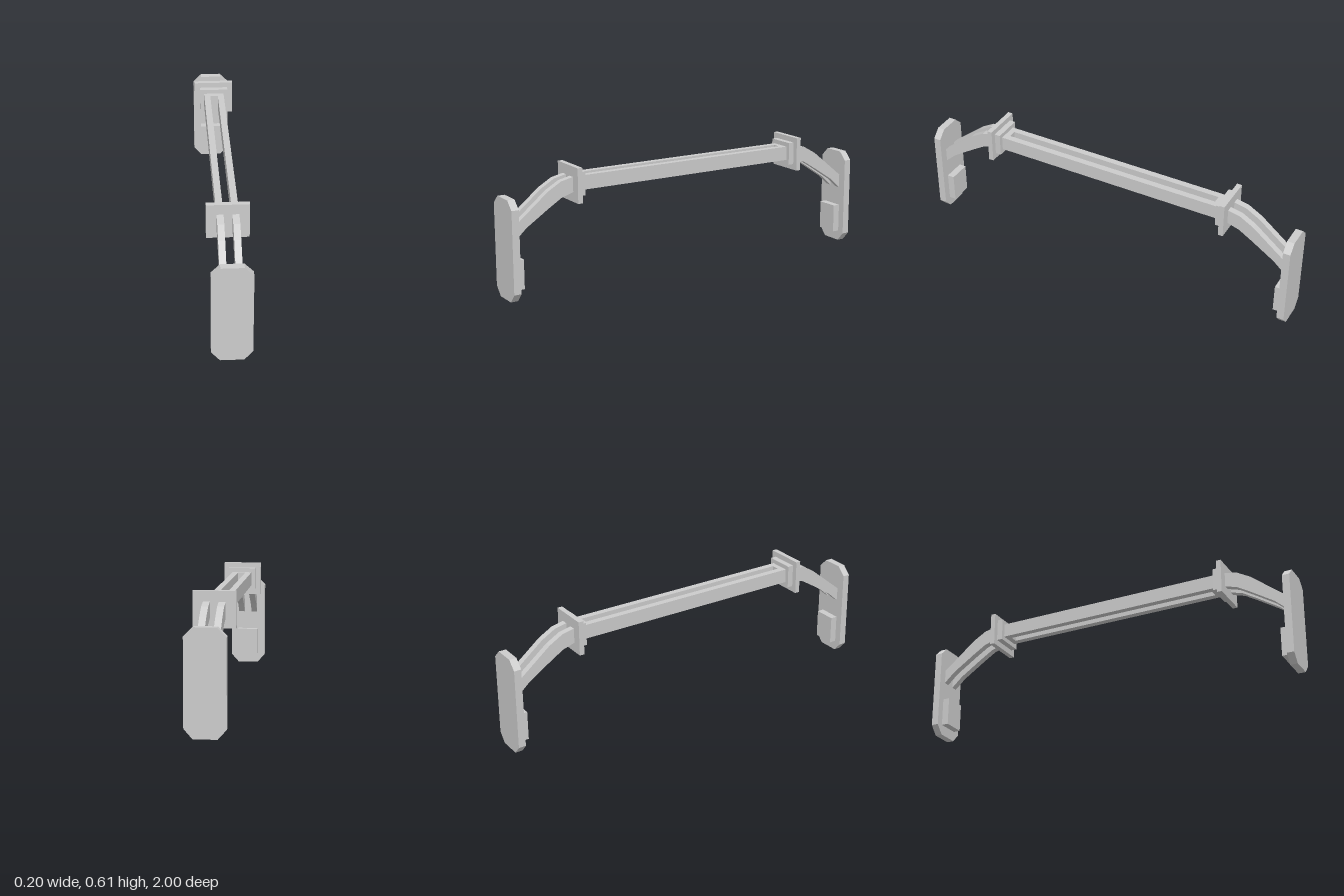
import * as THREE from 'three';

const material = new THREE.MeshStandardMaterial({ color: 0xcccccc, flatShading: true });

function addMesh(parent, name, geometry) {
  const mesh = new THREE.Mesh(geometry, material);
  mesh.name = name;
  parent.add(mesh);
  return mesh;
}

// Box given by its minimum and maximum corners
function addBox(parent, name, [x0, y0, z0], [x1, y1, z1]) {
  const mesh = addMesh(parent, name, new THREE.BoxGeometry(x1 - x0, y1 - y0, z1 - z0));
  mesh.position.set((x0 + x1) / 2, (y0 + y1) / 2, (z0 + z1) / 2);
  return mesh;
}

function extrude(points, depth) {
  const shape = new THREE.Shape(points.map(([x, y]) => new THREE.Vector2(x, y)));
  return new THREE.ExtrudeGeometry(shape, { depth, bevelEnabled: false });
}

const RAIL_IN = 0.02, RAIL_OUT = 0.052;

function createEnd(name) {
  const end = new THREE.Group();
  end.name = name;

  // Upright end plate with cut corners
  const plate = addMesh(end, 'endPlate', extrude([
    [-0.055, 0], [0.055, 0], [0.095, 0.045], [0.095, 0.45],
    [0.053, 0.492], [-0.053, 0.492], [-0.095, 0.45], [-0.095, 0.045],
  ], 0.037));
  plate.position.z = 0.963;

  // Raised pad on the inner face of the plate
  addBox(end, 'innerPad', [-0.057, 0.053, 0.927], [0.057, 0.198, 0.97]);

  // Square flange with a smaller step behind it
  addBox(end, 'flange', [-0.1, 0.437, 0.632], [0.1, 0.609, 0.657]);
  addBox(end, 'flangeStep', [-0.073, 0.467, 0.602], [0.073, 0.582, 0.635]);

  // Twin curved arms, outlined in (z, y)
  const armOutline = [
    [0.65, 0.487], [0.72, 0.465], [0.79, 0.422], [0.905, 0.347], [0.967, 0.291],
    [0.967, 0.362], [0.905, 0.412], [0.79, 0.505], [0.72, 0.545], [0.65, 0.56],
  ];
  for (const [armName, xMax] of [['leftArm', RAIL_OUT], ['rightArm', -RAIL_IN]]) {
    const geometry = extrude(armOutline, RAIL_OUT - RAIL_IN).rotateY(-Math.PI / 2);
    addMesh(end, armName, geometry).position.x = xMax;
  }

  // Block closing the gap between the rails
  addBox(end, 'railBridge', [-RAIL_IN, 0.489, 0.574], [RAIL_IN, 0.56, 0.61]);
  return end;
}

export function createModel() {
  const model = new THREE.Group();
  model.name = 'doubleRailFrame';

  // Long parallel rails
  addBox(model, 'leftRail', [RAIL_IN, 0.489, -0.61], [RAIL_OUT, 0.56, 0.61]);
  addBox(model, 'rightRail', [-RAIL_OUT, 0.489, -0.61], [-RAIL_IN, 0.56, 0.61]);

  // Matching end assemblies
  model.add(createEnd('frontEnd'));
  const back = createEnd('backEnd');
  back.rotation.y = Math.PI;
  model.add(back);
  return model;
}
